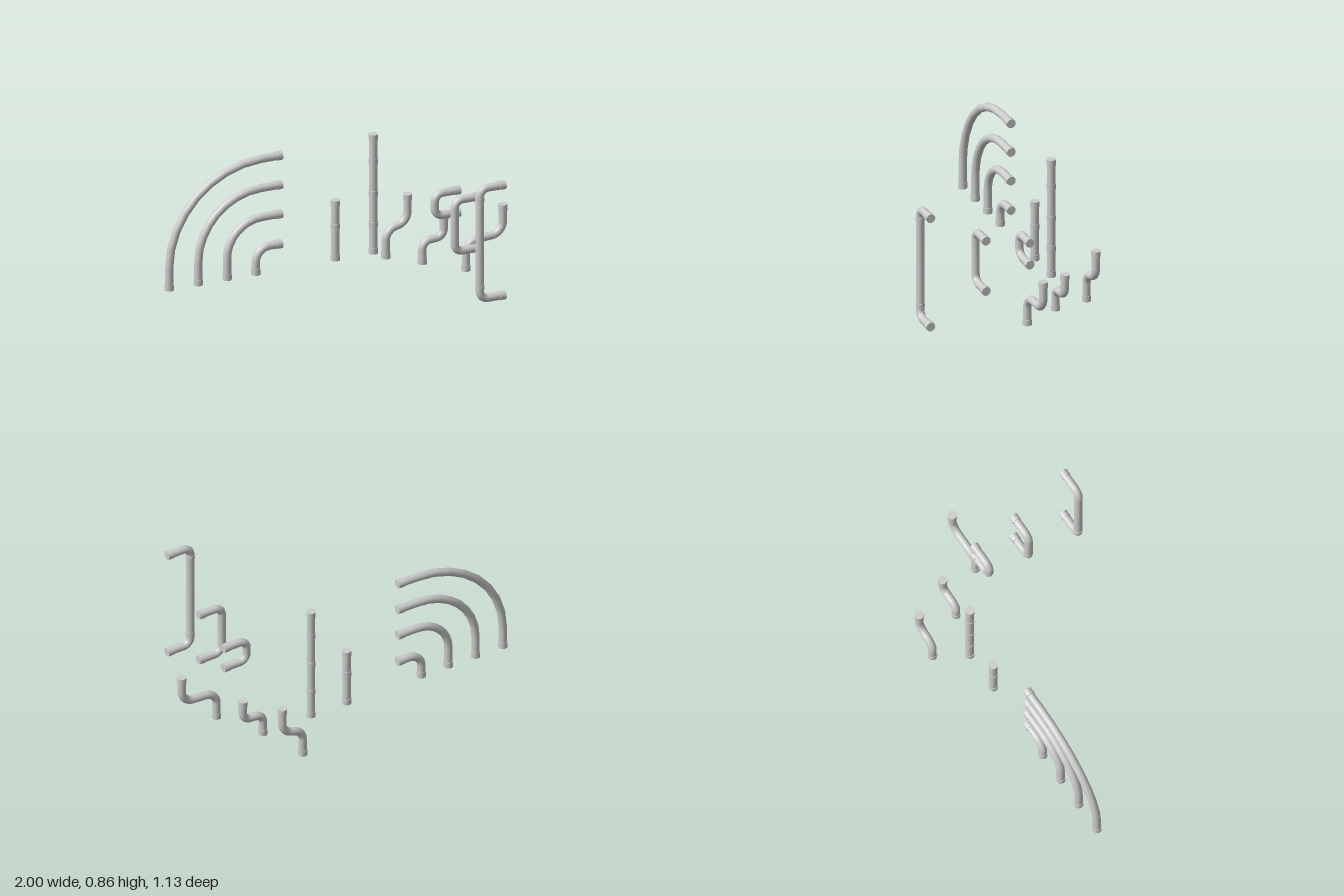
import * as THREE from 'three';

const PIPE_R = 0.024, COLLAR_R = 0.027, COLLAR_L = 0.037, SIDES = 20;
const material = new THREE.MeshStandardMaterial({ color: 0xcccccc });

// Centre line through the corners, each corner rounded over tangent length r
function roundedPath(corners, r, steps = 8) {
  const pts = corners.map(([x, y]) => new THREE.Vector2(x, y));
  const out = [pts[0]];
  for (let i = 1; i < pts.length - 1; i++) {
    const c = pts[i];
    const toward = (p, d) => c.clone().add(p.clone().sub(c).setLength(d));
    const k = r * (1 - 0.5523);
    const bend = new THREE.CubicBezierCurve(
      toward(pts[i - 1], r), toward(pts[i - 1], k), toward(pts[i + 1], k), toward(pts[i + 1], r));
    out.push(...bend.getPoints(steps));
  }
  out.push(pts[pts.length - 1]);
  return out;
}

// Round tube swept along a path lying in the xy plane
function sweep(path) {
  const pos = [], nor = [], idx = [], row = SIDES + 1;
  path.forEach((p, i) => {
    const before = path[Math.max(i - 1, 0)], after = path[Math.min(i + 1, path.length - 1)];
    const a = p.clone().sub(before).normalize(), b = after.clone().sub(p).normalize();
    const t = a.add(b).normalize();
    for (let j = 0; j <= SIDES; j++) {
      const phi = (j / SIDES) * Math.PI * 2, c = Math.cos(phi), s = Math.sin(phi);
      nor.push(-t.y * c, t.x * c, s);
      pos.push(p.x - t.y * c * PIPE_R, p.y + t.x * c * PIPE_R, s * PIPE_R);
      if (i < path.length - 1 && j < SIDES) {
        const k = i * row + j;
        idx.push(k, k + 1, k + row, k + 1, k + row + 1, k + row);
      }
    }
  });
  const g = new THREE.BufferGeometry();
  g.setAttribute('position', new THREE.Float32BufferAttribute(pos, 3));
  g.setAttribute('normal', new THREE.Float32BufferAttribute(nor, 3));
  g.setIndex(idx);
  return g;
}

function addMesh(parent, name, geometry) {
  const mesh = new THREE.Mesh(geometry, material);
  mesh.name = name;
  parent.add(mesh);
  return mesh;
}

// Closed sleeve centred on a point and aligned with a direction
function addCollar(parent, name, x, y, dir, length = COLLAR_L) {
  const collar = addMesh(parent, name, new THREE.CylinderGeometry(COLLAR_R, COLLAR_R, length, SIDES));
  collar.position.set(x, y, 0);
  collar.rotation.z = Math.atan2(dir.y, dir.x) - Math.PI / 2;
}

// Pipe with a collar on each end and optional rings [x, y, length] on vertical runs
function addPipe(parent, name, z, corners, bend, rings = []) {
  const group = new THREE.Group();
  group.name = name;
  group.position.z = z;
  const path = roundedPath(corners, bend);
  addMesh(group, 'pipe', sweep(path));
  const ends = [[path[0], path[1]], [path[path.length - 1], path[path.length - 2]]];
  for (const [end, next] of ends) {
    const dir = next.clone().sub(end).normalize();
    const c = end.clone().addScaledVector(dir, COLLAR_L / 2);
    addCollar(group, 'endCollar', c.x, c.y, dir);
  }
  for (const [x, y, length] of rings) {
    addCollar(group, 'jointRing', x, y, new THREE.Vector2(0, 1), length);
  }
  parent.add(group);
}

export function createModel() {
  const model = new THREE.Group();
  model.name = 'pipeSet';

  // Nested quarter bends: [x of the upright, height of the run, bend]
  const elbows = [[-0.973, 0.828, 0.58], [-0.79, 0.647, 0.39], [-0.609, 0.466, 0.215], [-0.428, 0.28, 0.085]];
  for (const [x, y, bend] of elbows) {
    addPipe(model, 'elbowPipe', -0.382, [[x, 0.118], [x, y], [-0.267, y]], bend);
  }

  // Straight uprights with coupling rings
  addPipe(model, 'shortStraightPipe', -0.382, [[0.071, 0.118], [0.071, 0.49]], 0, [[0.071, 0.33, 0.037]]);
  addPipe(model, 'tallStraightPipe', -0.382, [[0.309, 0.118], [0.309, 0.857]], 0,
    [0.298, 0.49, 0.69].map((y) => [0.309, y, 0.035]));

  // U-shaped pipes: [z, top, bottom, ring heights]
  const returns = [[0.537, 0.828, 0.144, [0.765, 0.221]], [0.193, 0.622, 0.304, []], [-0.079, 0.557, 0.419, []]];
  for (const [z, top, bottom, rings] of returns) {
    addPipe(model, 'returnPipe', z, [[0.712, top], [0.555, top], [0.555, bottom], [0.712, bottom]], 0.05,
      rings.map((y) => [0.555, y, 0.02]));
  }

  // S-shaped offsets: [z, lower x, bottom, upper x, top, slope of the middle, bend]
  const offsets = [
    [-0.05, 0.738, 0.063, 0.97, 0.434, 0.006, 0.075],
    [-0.294, 0.577, 0.04, 0.711, 0.322, 0.003, 0.05],
    [-0.537, 0.459, 0.001, 0.595, 0.375, 0.018, 0.058],
  ];
  for (const [z, x0, y0, x1, y1, d, bend] of offsets) {
    const mid = (y0 + y1) / 2;
    addPipe(model, 'offsetPipe', z, [[x0, y0], [x0, mid - d], [x1, mid + d], [x1, y1]], bend);
  }
  return model;
}
